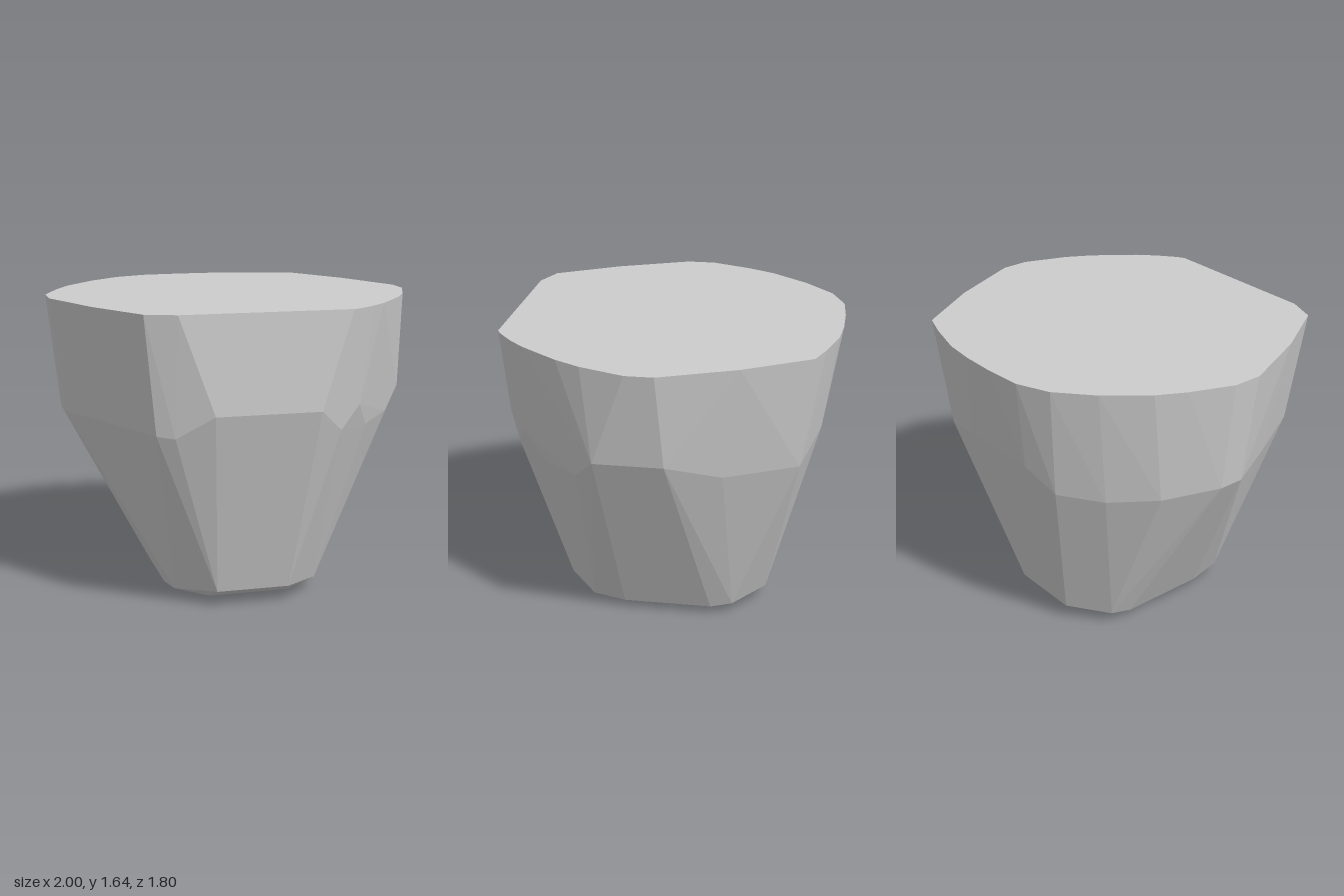
import * as THREE from 'three';
import { ConvexGeometry } from 'three/addons/geometries/ConvexGeometry.js';

// Rim outline at the flat top, as [x, z]
const TOP = 1.64;
const rim = [
  [-1, -0.06], [-0.91, -0.29], [-0.83, -0.44], [-0.66, -0.65], [-0.48, -0.81], [-0.3, -0.885],
  [-0.1, -0.9], [0.1, -0.9], [0.27, -0.885], [0.48, -0.83], [0.62, -0.78], [0.83, -0.43],
  [1, -0.03], [1, 0.12], [0.91, 0.36], [0.83, 0.5], [0.67, 0.71], [0.58, 0.8],
  [0.48, 0.88], [0.44, 0.9], [-0.47, 0.9], [-0.63, 0.84], [-0.83, 0.5], [-1, 0.1],
];

// Uneven waist where the wall starts to taper, as [x, y, z]
const waist = [
  [-0.28, 1.12, 0.9], [0.28, 1.12, 0.9], [0.41, 1.0, 0.82], [0.53, 1.12, 0.76],
  [0.61, 0.98, 0.63], [0.8, 1.0, 0.42], [0.91, 1.12, 0.31], [0.91, 1.12, -0.06],
  [0.76, 1.02, -0.34], [0.56, 1.02, -0.72], [0.25, 1.12, -0.81], [-0.25, 1.12, -0.81],
  [-0.41, 1.0, -0.74], [-0.61, 0.98, -0.57], [-0.8, 1.0, -0.36], [-0.93, 1.02, -0.06],
  [-0.93, 1.02, 0.08], [-0.77, 1.02, 0.4], [-0.56, 1.01, 0.78], [-0.47, 1.0, 0.82],
];

// Foot and chamfered underside, right half only
const foot = [
  [0.2, 0.09, 0.6], [0.4, 0.07, 0.43], [0.42, 0.05, 0.25], [0.42, 0.05, -0.24],
  [0.4, 0.07, -0.36], [0.2, 0.09, -0.53], [0.22, 0.035, 0.5], [0.22, 0.045, -0.44],
  [0.28, 0, 0.17], [0.28, 0, -0.1], [0.17, 0, 0.32], [0.17, 0, -0.25],
];

export function createModel() {
  const group = new THREE.Group();
  group.name = 'facetedBlock';

  const stone = new THREE.MeshStandardMaterial({ color: 0xcccccc });
  stone.name = 'light grey';

  const points = [
    ...rim.map(([x, z]) => new THREE.Vector3(x, TOP, z)),
    ...waist.map((p) => new THREE.Vector3(...p)),
  ];
  // Mirror the foot across x
  for (const side of [1, -1]) {
    for (const [x, y, z] of foot) points.push(new THREE.Vector3(x * side, y, z));
  }

  // Flat-faced tapered body wrapped around the outlines
  const body = new THREE.Mesh(new ConvexGeometry(points), stone);
  body.name = 'taperedBody';
  group.add(body);
  return group;
}
